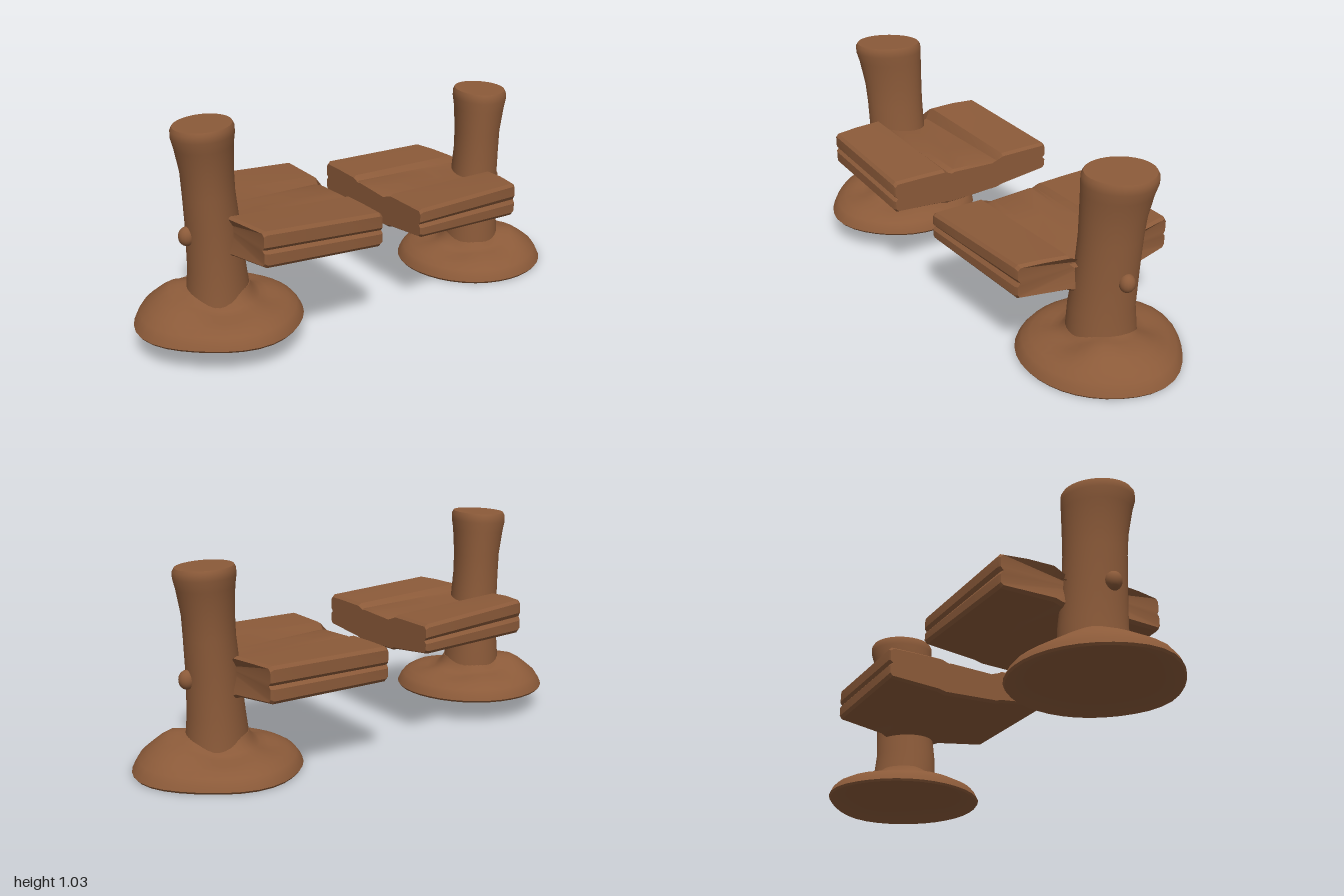
import * as THREE from 'three';
import { toCreasedNormals } from 'three/addons/utils/BufferGeometryUtils.js';

const wood = new THREE.MeshStandardMaterial({ color: 0x8b5a39 });
wood.name = 'brown wood';

// Skin a list of closed rings (arrays of Vector3) and cap both ends.
function loft(name, rings, crease) {
  const n = rings[0].length, pos = [], idx = [];
  rings.forEach(r => r.forEach(p => pos.push(p.x, p.y, p.z)));
  for (let l = 0; l < rings.length - 1; l++) {
    for (let i = 0; i < n; i++) {
      const a = l * n + i, b = l * n + (i + 1) % n;
      idx.push(a, a + n, b, b, a + n, b + n);
    }
  }
  [0, rings.length - 1].forEach((l, end) => {
    const c = rings[l].reduce((s, p) => s.add(p), new THREE.Vector3()).divideScalar(n);
    const ci = pos.length / 3;
    pos.push(c.x, c.y, c.z);
    for (let i = 0; i < n; i++) {
      const a = l * n + i, b = l * n + (i + 1) % n;
      if (end) idx.push(ci, b, a); else idx.push(ci, a, b);
    }
  });
  const g = new THREE.BufferGeometry();
  g.setAttribute('position', new THREE.Float32BufferAttribute(pos, 3));
  g.setIndex(idx);
  const mesh = new THREE.Mesh(toCreasedNormals(g, crease), wood);
  mesh.name = name;
  return mesh;
}

// Outline of three joined planks: [position across, height at free end, height at post].
const outline = [
  [0.015, 0.38, 0.37], [0.3, 0.36, 0.35], [0.34, 0.35, 0.335], [0.66, 0.36, 0.34], [0.7, 0.37, 0.355], [0.985, 0.4, 0.375],
  [1, 0.415, 0.39], [1, 0.45, 0.435], [0.985, 0.465, 0.455], [1, 0.48, 0.475], [1, 0.525, 0.525],
  [0.985, 0.54, 0.54], [0.85, 0.54, 0.54], [0.705, 0.54, 0.53], [0.675, 0.505, 0.47], [0.62, 0.515, 0.468], [0.5, 0.52, 0.475],
  [0.38, 0.525, 0.49], [0.345, 0.515, 0.5], [0.315, 0.537, 0.53], [0.15, 0.54, 0.535], [0.015, 0.54, 0.535],
  [0, 0.525, 0.52], [0, 0.47, 0.465], [0.015, 0.455, 0.45], [0, 0.44, 0.435], [0, 0.395, 0.385],
];

// Shift moves the planks outward, sag lowers their free end.
function planks(shift, sag) {
  const stations = [[0, 0.88], [0.025, 1], [0.35, 1], [0.65, 1], [0.975, 1], [1, 0.88]];
  const mix = THREE.MathUtils.lerp;
  return loft('planks', stations.map(([l, k]) => outline.map(([t, yi, yo]) => {
    const s = mix(0.5, t, mix(0.9, 1, k));
    const bulge = 0.05 * l * Math.sin(Math.PI * s);
    const x = mix(mix(-0.145, 0.3, s), mix(0.355, 0.79, s), l) + shift + bulge * 0.85;
    const z = mix(mix(-0.46, 0.28, s), mix(-0.79, -0.09, s), l) - bulge * 0.52;
    const y = mix(0.45, mix(yi, yo, l), k) - sag * mix(1, 0.2, l);
    return new THREE.Vector3(x, y, z);
  })), 0.5);
}

const SIDES = 36;
const around = f => Array.from({ length: SIDES }, (_, i) => f(i / SIDES * Math.PI * 2));
const lobe = (t, at, power) => Math.max(0, Math.cos(t - at)) ** power;

// Earthy foot: rounded uneven mound, hollow below, with a hump beside the post.
function mound() {
  const levels = [[0.3, 0.05, 0.1], [0.75, 0.035, 0.1], [0.98, 0, 0], [1, 0.01, 0], [0.97, 0.035, 0],
    [0.92, 0.058, 0.1], [0.82, 0.078, 0.3], [0.7, 0.09, 0.7], [0.58, 0.097, 1], [0.48, 0.105, 0.9], [0.4, 0.13, 0.5], [0.36, 0.16, 0]];
  return loft('mound', levels.map(([k, y, hump]) => around(t => {
    const r = k * (0.38 + 0.028 * lobe(t, -2.2, 8) + 0.028 * lobe(t, -0.75, 8)
      - 0.012 * lobe(t, 2.36, 4) - 0.01 * lobe(t, 0.8, 4));
    const lift = 0.06 * lobe(t, -0.2, 2) + 0.007 * Math.sin(5 * t + 1);
    return new THREE.Vector3(0.615 + r * Math.cos(t), y + hump * lift, -0.465 + r * Math.sin(t));
  })), 0.8);
}

// Post: leaning oval trunk, [y, centre x, centre z, radius x, radius z].
function post() {
  const levels = [[0.08, 0.62, -0.478, 0.148, 0.165], [0.25, 0.623, -0.474, 0.13, 0.152], [0.45, 0.63, -0.49, 0.12, 0.143],
    [0.6, 0.639, -0.498, 0.115, 0.142], [0.7, 0.642, -0.503, 0.116, 0.146], [0.82, 0.648, -0.515, 0.128, 0.158],
    [0.87, 0.65, -0.522, 0.137, 0.166], [0.9, 0.65, -0.523, 0.136, 0.165], [0.915, 0.65, -0.523, 0.128, 0.156]];
  return loft('post', levels.map(([y, cx, cz, rx, rz]) => around(t => {
    const k = 1 + 0.01 * Math.sin(3 * t + y * 3);
    const tilt = y > 0.8 ? -0.005 * Math.cos(t) : 0;
    return new THREE.Vector3(cx + rx * k * Math.cos(t), y + tilt, cz + rz * k * Math.sin(t));
  })), 0.8);
}

function bridgeEnd(name, shift, sag) {
  const g = new THREE.Group();
  g.name = name;
  g.add(mound(), post(), planks(shift, sag));

  // Peg poking out of the outer side of the post
  const peg = new THREE.Mesh(new THREE.SphereGeometry(0.04, 16, 12), wood);
  peg.name = 'peg';
  peg.scale.set(0.95, 1.1, 0.95);
  peg.position.set(0.735, 0.42, -0.565);
  g.add(peg);
  return g;
}

export function createModel() {
  const model = new THREE.Group();
  model.name = 'brokenBridge';
  const low = bridgeEnd('lowEnd', 0, 0);
  const high = bridgeEnd('highEnd', 0.025, 0.055);
  high.rotation.y = Math.PI;
  high.position.y = 0.11;
  model.add(low, high);
  return model;
}
